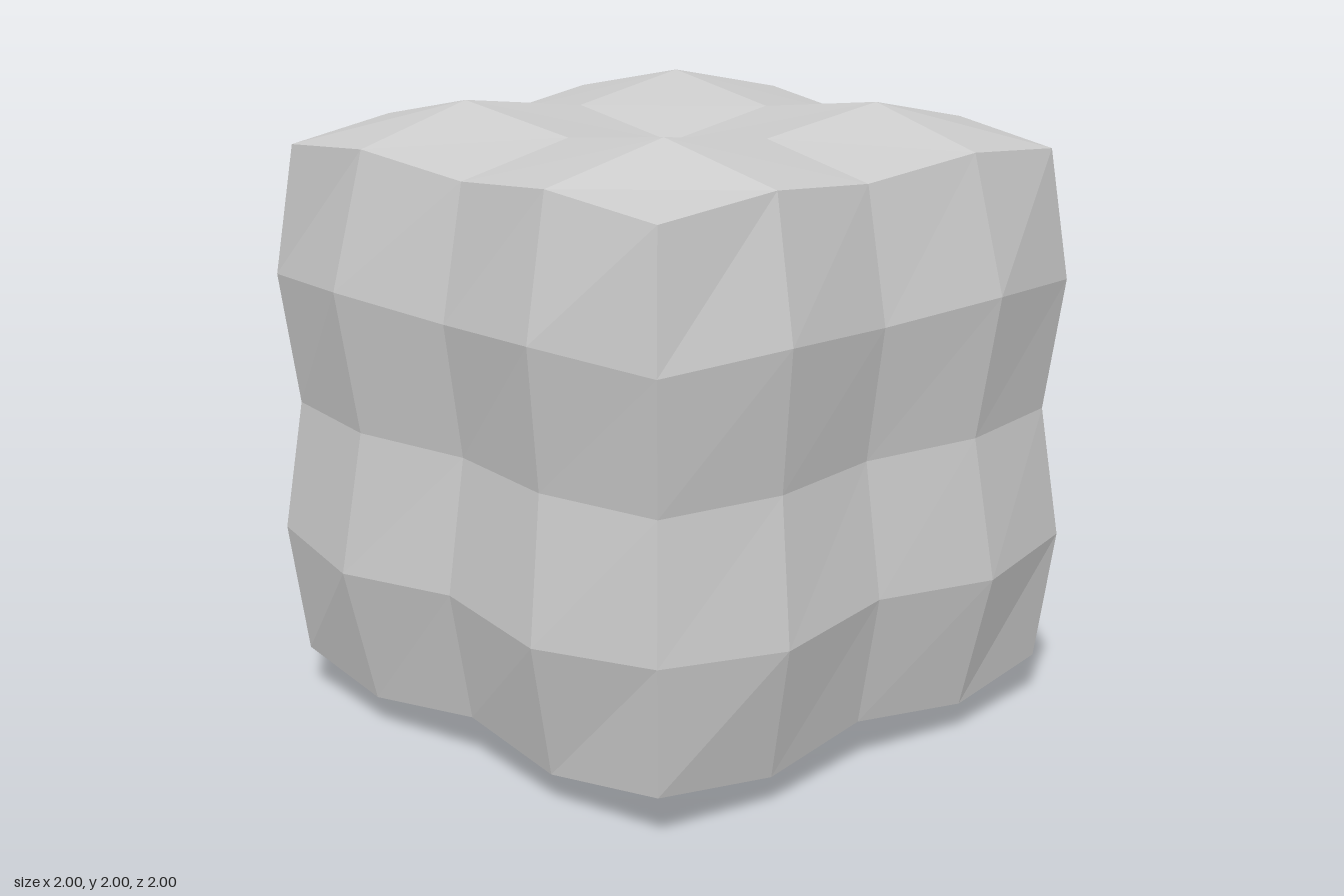
import * as THREE from 'three';

// Distance of a face point from the centre, by its grid position
// (rows and columns: middle, halfway, edge)
const HEIGHT = [
  [0.87, 0.935, 0.855],
  [0.935, 1.0, 0.9],
  [0.855, 0.9, 0.855],
];

// New coordinate along one axis, given the other two
function ripple(a, b, c) {
  const [i, j, k] = [a, b, c].map(v => Math.round(Math.abs(v) * 2));
  if (i === 2) return Math.sign(a) * HEIGHT[j][k];
  if (i === 1) return Math.sign(a) * (j + k === 3 ? 0.46 : 0.43);
  return 0;
}

export function createModel() {
  const group = new THREE.Group();
  group.name = 'rippledCube';

  // Cube with a 4 x 4 grid per side, each side pushed into four soft bumps
  const geometry = new THREE.BoxGeometry(2, 2, 2, 4, 4, 4);
  const p = geometry.attributes.position;
  for (let n = 0; n < p.count; n++) {
    const x = p.getX(n), y = p.getY(n), z = p.getZ(n);
    p.setXYZ(n, ripple(x, y, z), ripple(y, x, z) + 1, ripple(z, x, y));
  }
  geometry.computeVertexNormals();

  const block = new THREE.Mesh(
    geometry,
    new THREE.MeshStandardMaterial({ color: 0xcccccc, flatShading: true })
  );
  block.name = 'bumpyBlock';
  group.add(block);
  return group;
}
